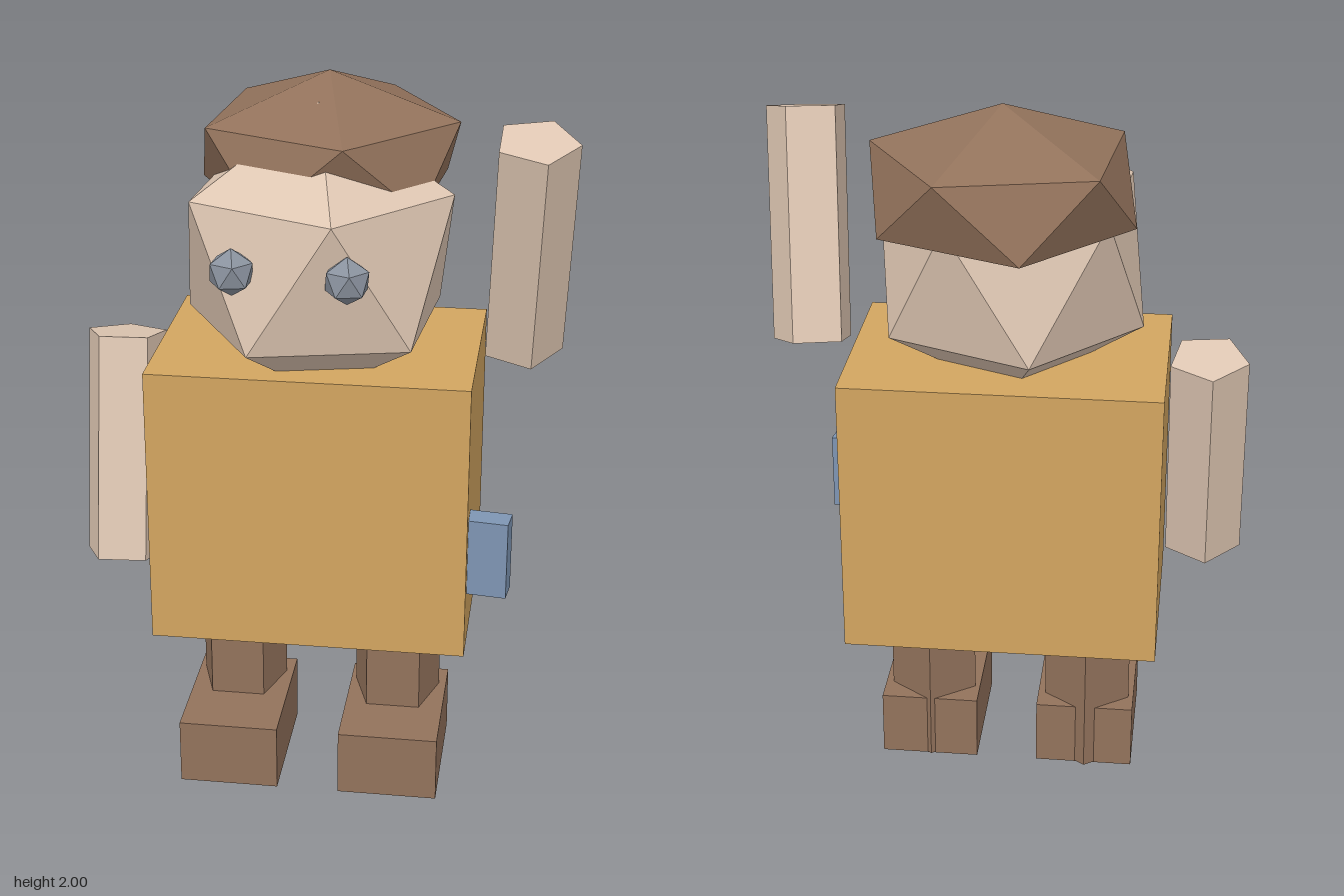
import * as THREE from 'three';

const material = (name, color) => {
  const m = new THREE.MeshStandardMaterial({ color });
  m.name = name;
  return m;
};

export function createModel() {
  const mustard = material('mustard', 0xd2a560);
  const skin = material('skin', 0xdfc7b3);
  const brown = material('brown', 0x92725b);
  const steel = material('steel grey', 0x8a929e);
  const blue = material('blue', 0x7e95b3);

  const model = new THREE.Group();
  model.name = 'figure';

  const add = (name, geometry, mat, position, turn = 0) => {
    const mesh = new THREE.Mesh(geometry, mat);
    mesh.name = name;
    mesh.position.set(...position);
    mesh.rotation.y = turn;
    model.add(mesh);
    return mesh;
  };

  // Icosahedron standing on a corner, optionally flattened
  const gem = (radius, flatten = 1) => {
    const g = new THREE.IcosahedronGeometry(radius, 0);
    g.rotateZ(-Math.atan(2 / (1 + Math.sqrt(5))));
    g.scale(1, flatten, 1);
    g.computeVertexNormals();
    return g;
  };

  // Five-sided faceted prism
  const prism = (radius, length, start) => {
    const g = new THREE.CylinderGeometry(radius, radius, length, 5, 1, false, start).toNonIndexed();
    g.computeVertexNormals();
    return g;
  };

  // Prism running between two points
  const limb = (name, bottom, top, radius, start) => {
    const a = new THREE.Vector3(...bottom);
    const b = new THREE.Vector3(...top);
    const dir = b.clone().sub(a);
    const mesh = add(name, prism(radius, dir.length(), start), skin, a.clone().add(b).multiplyScalar(0.5).toArray());
    mesh.quaternion.setFromUnitVectors(new THREE.Vector3(0, 1, 0), dir.normalize());
  };

  const bodyTurn = 0.05;
  const headTurn = -0.042;

  // Torso
  add('body', new THREE.BoxGeometry(0.87, 0.79, 0.605), mustard, [-0.02, 0.875, 0.015], bodyTurn);

  // Legs and feet
  for (const [side, legX, legZ, footX, footZ] of [
    ['right', -0.2525, 0.024, -0.245, 0.115],
    ['left', 0.2025, 0.013, 0.21, 0.092],
  ]) {
    add(side + 'Leg', prism(0.129, 0.5, Math.PI), brown, [legX, 0.252, legZ], bodyTurn);
    add(side + 'Foot', new THREE.BoxGeometry(0.28, 0.19, 0.4), brown, [footX, 0.095, footZ], bodyTurn);
  }

  // Head, hair and eyes
  add('head', gem(0.408), skin, [-0.02, 1.54, 0.045], headTurn);
  add('hair', gem(0.397, 0.547), brown, [-0.015, 1.783, -0.09], headTurn);
  add('rightEye', gem(0.064), steel, [-0.187, 1.58, 0.362], headTurn);
  add('leftEye', gem(0.064), steel, [0.115, 1.58, 0.374], headTurn);

  // Lowered arm and raised arm
  limb('rightArm', [-0.56, 0.645, 0.164], [-0.564, 1.27, 0.044], 0.113, 0.8);
  limb('leftArm', [0.525, 1.284, -0.023], [0.56, 1.9, 0.142], 0.113, 0.35);

  // Small box on the hip
  add('hipBox', new THREE.BoxGeometry(0.16, 0.222, 0.07), blue, [0.4575, 0.763, 0.2195], -0.07);

  return model;
}
